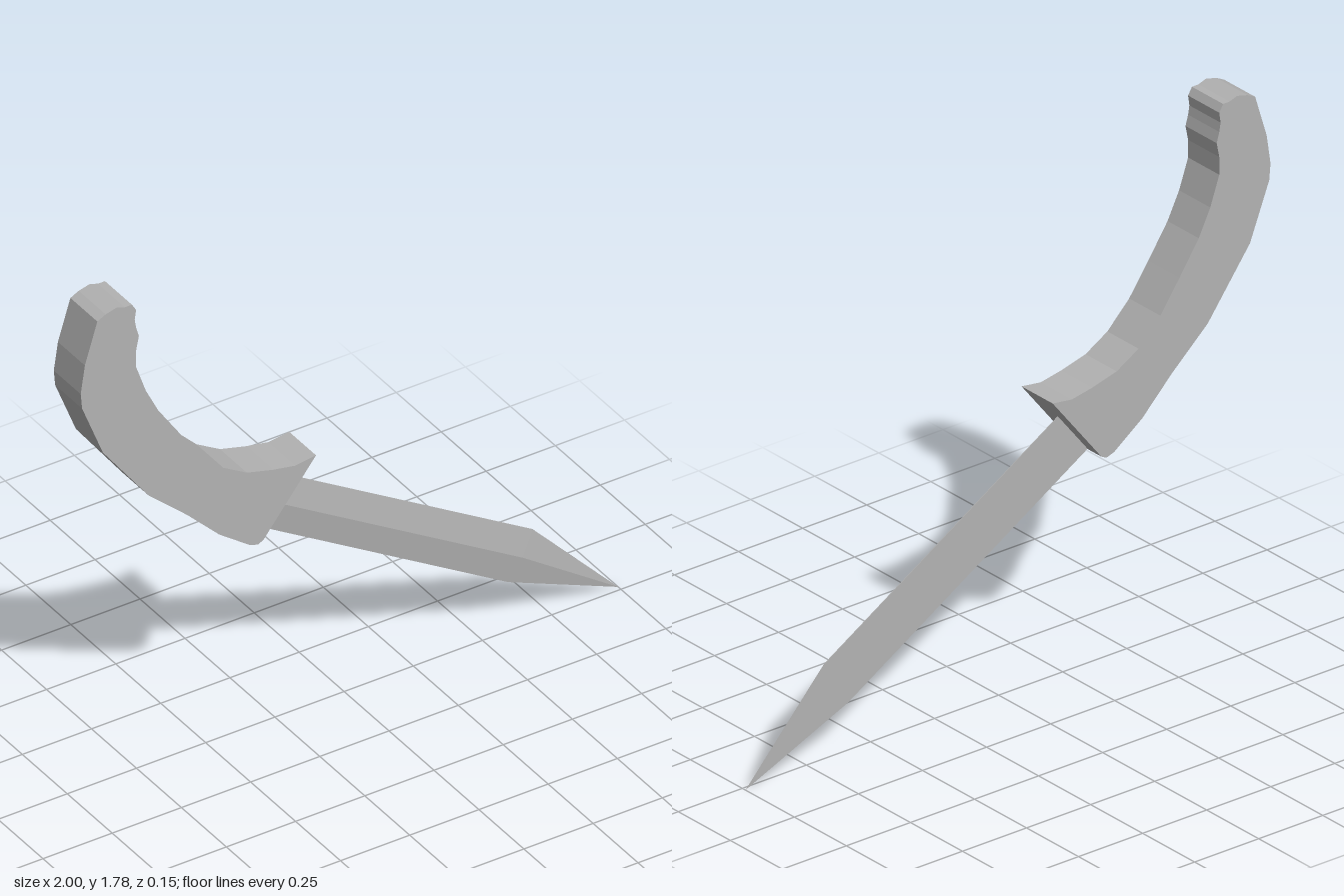
import * as THREE from 'three';

const steel = new THREE.MeshStandardMaterial({ color: 0xb2b2b2 });
steel.name = 'grey';

// Curved grip with finger notches and a flared guard, extruded sideways
function makeHandle() {
  const outline = [
    [-0.94, 1.76], [-0.91, 1.775], [-0.87, 1.785], [-0.84, 1.775], [-0.815, 1.775],
    [-0.8, 1.75], [-0.805, 1.715], [-0.8, 1.685], [-0.79, 1.65], [-0.8, 1.6],
    [-0.8, 1.54], [-0.765, 1.44], [-0.72, 1.35], [-0.645, 1.24], [-0.57, 1.135],
    [-0.485, 1.05], [-0.4, 1.0], [-0.305, 0.975], [-0.225, 0.96], [-0.15, 0.97],
    [-0.34, 0.73], [-0.36, 0.72], [-0.39, 0.73], [-0.5, 0.81], [-0.615, 0.925],
    [-0.755, 1.05], [-0.92, 1.27], [-0.995, 1.46], [-1.0, 1.515], [-0.985, 1.615],
  ].map(([x, y]) => new THREE.Vector2(x, y));
  const depth = 0.15;
  const geometry = new THREE.ExtrudeGeometry(new THREE.Shape(outline), { depth, bevelEnabled: false });
  geometry.translate(0, 0, -depth / 2);
  const mesh = new THREE.Mesh(geometry, steel);
  mesh.name = 'handle';
  return mesh;
}

// Thin blade: flat back, central ridge on the front, tapering to a point
function makeBlade() {
  const back = -0.015, edge = -0.012, ridge = 0;
  const section = ([ux, uy], [lx, ly]) => [
    [ux, uy, edge], [(ux + lx) / 2, (uy + ly) / 2, ridge], [lx, ly, edge],
    [lx, ly, back], [ux, uy, back],
  ];
  const rings = [
    section([-0.22, 0.88], [-0.335, 0.735]),
    section([0.69, 0.33], [0.6, 0.17]),
  ];
  const points = [...rings.flat(), [1, 0, back]];
  const n = 5, tip = 2 * n, index = [];
  for (let k = 0; k < n; k++) {
    const a = k, b = (k + 1) % n;
    index.push(a, b, n + b, a, n + b, n + a); // body
    index.push(n + a, n + b, tip); // point
  }
  for (let k = 1; k < n - 1; k++) index.push(0, k + 1, k); // end inside the guard
  const indexed = new THREE.BufferGeometry();
  indexed.setAttribute('position', new THREE.Float32BufferAttribute(points.flat(), 3));
  indexed.setIndex(index);
  const geometry = indexed.toNonIndexed();
  geometry.computeVertexNormals();
  const mesh = new THREE.Mesh(geometry, steel);
  mesh.name = 'blade';
  return mesh;
}

export function createModel() {
  const group = new THREE.Group();
  group.name = 'dagger';
  group.add(makeHandle(), makeBlade());
  return group;
}
